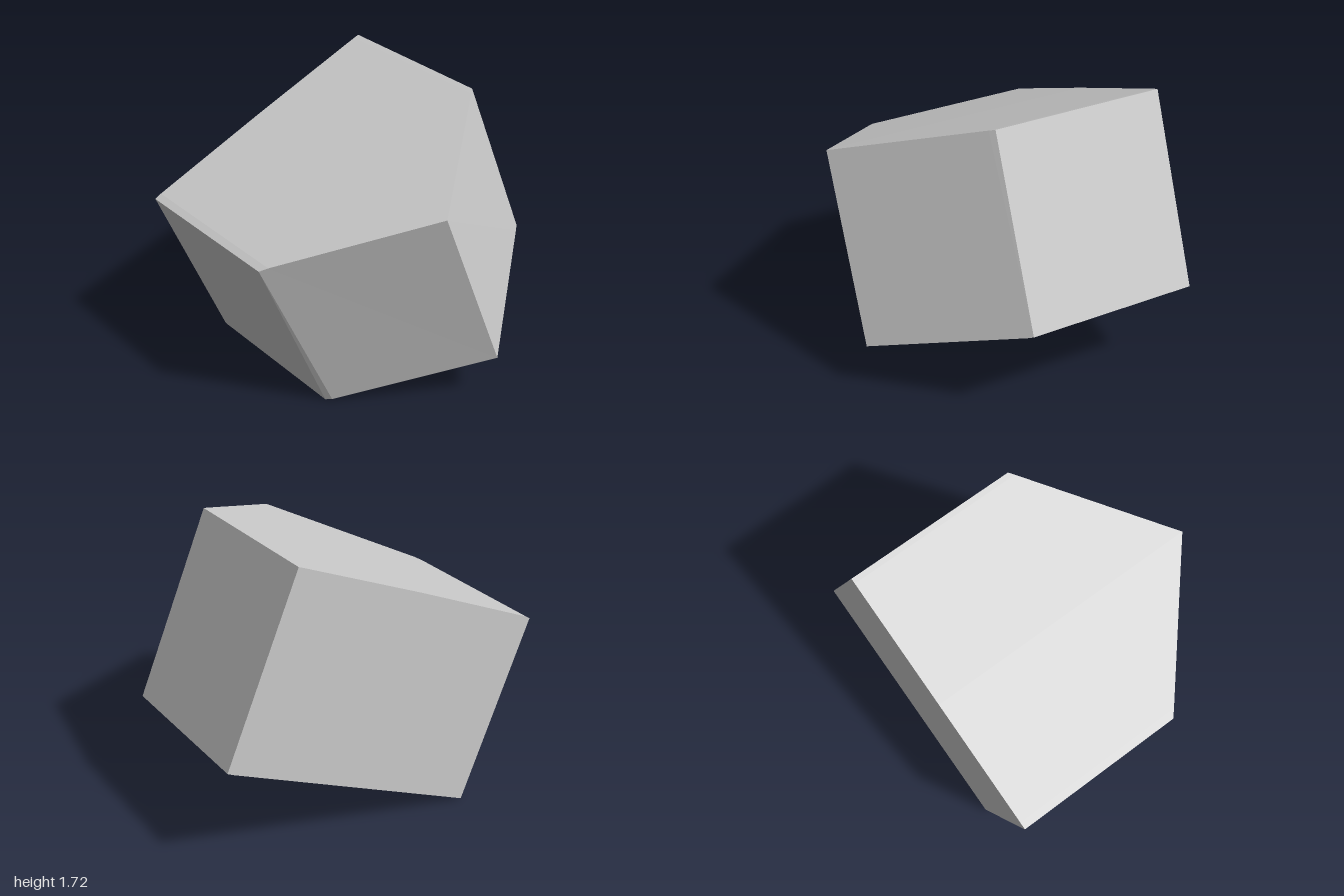
import * as THREE from 'three';

export function createModel() {
  const group = new THREE.Group();

  // Slices across the block: top [x, y], bottom [x, y], depth of the front edge
  const slices = [
    { top: [-1, 1.08], bottom: [-0.565, 0], front: 0.2 },
    { top: [-0.96, 1.103], bottom: [-0.54, 0.01], front: 0.235 },
    { top: [-0.22, 1.41], bottom: [0.215, 0.315], front: 0.86 },
    { top: [0.53, 1.709], bottom: [0.97, 0.62], front: 0.226 },
    { top: [0.56, 1.72], bottom: [1, 0.635], front: 0.2 },
  ];
  const back = -0.86;

  // Four corners per slice: top back, top front, bottom front, bottom back
  const positions = [];
  for (const { top, bottom, front } of slices) {
    positions.push(...top, back, ...top, front, ...bottom, front, ...bottom, back);
  }

  // Skin between neighbouring slices
  const index = [];
  for (let i = 0; i < slices.length - 1; i++) {
    for (let j = 0; j < 4; j++) {
      const k = (j + 1) % 4;
      const a = i * 4 + j, b = i * 4 + k, c = b + 4, d = a + 4;
      index.push(a, b, c, a, c, d);
    }
  }

  // End walls
  const e = (slices.length - 1) * 4;
  index.push(0, 2, 1, 0, 3, 2, e, e + 1, e + 2, e, e + 2, e + 3);

  const geometry = new THREE.BufferGeometry();
  geometry.setAttribute('position', new THREE.Float32BufferAttribute(positions, 3));
  geometry.setIndex(index);
  const flat = geometry.toNonIndexed();
  flat.computeVertexNormals();

  const block = new THREE.Mesh(
    flat,
    new THREE.MeshStandardMaterial({ color: 0xcccccc, flatShading: true })
  );
  block.name = 'pentagonalBlock';
  group.add(block);
  return group;
}
